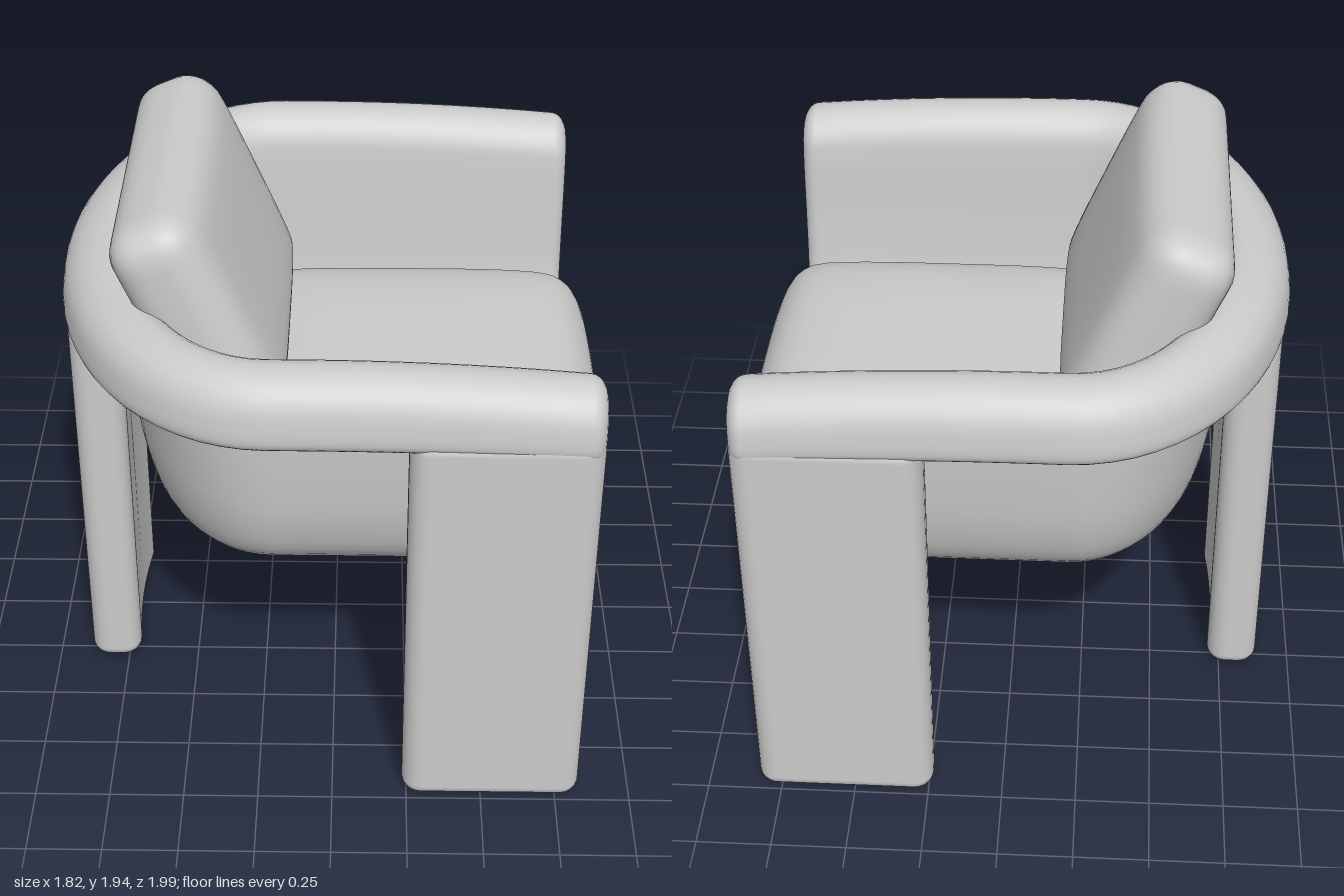
import * as THREE from 'three';
import { mergeVertices } from 'three/addons/utils/BufferGeometryUtils.js';

const material = new THREE.MeshStandardMaterial({ color: 0xcccccc });
const shellMaterial = new THREE.MeshStandardMaterial({ color: 0xcccccc, side: THREE.DoubleSide });
const FRONT = 0.83;    // x of the front edge
const BEND = -0.2;     // x where the straight arms turn into the curved back

function part(name, geometry, mat = material) {
  const mesh = new THREE.Mesh(geometry, mat);
  mesh.name = name;
  return mesh;
}

// Merge coincident vertices so that the normals are smooth all round
function smooth(geometry) {
  geometry.deleteAttribute('uv');
  geometry.deleteAttribute('normal');
  const merged = mergeVertices(geometry, 1e-4);
  merged.computeVertexNormals();
  return merged;
}

// Padded band: half section from the outer lip, over the arm and down to the middle of the floor
// Each point is distance from the middle, height, half thickness
function bandSection() {
  const points = [
    [0.915, 1.42, 0.05], [0.915, 1.445, 0.076], [0.913, 1.51, 0.078], [0.898, 1.56, 0.077],
    [0.855, 1.588, 0.068], [0.81, 1.56, 0.063], [0.79, 1.5, 0.056], [0.775, 1.4, 0.05],
    [0.758, 1.2, 0.05], [0.73, 1.0, 0.05], [0.672, 0.86, 0.052], [0.565, 0.79, 0.055],
    [0.4, 0.775, 0.055], [0.2, 0.775, 0.055], [0, 0.775, 0.055],
  ].map((p) => new THREE.Vector3(...p));
  const curve = new THREE.CatmullRomCurve3(points);
  const samples = 56;
  return Array.from({ length: samples + 1 }, (_, i) => {
    const p = curve.getPoint(i / samples);
    const t = curve.getTangent(i / samples);
    const length = Math.hypot(t.x, t.y);
    return { w: p.x, y: p.y, h: p.z, nw: -t.y / length, ny: t.x / length };
  });
}

// How far the back bows out behind the bend, for a given half width
function backDepth(w) {
  const swell = w > 0.45 && w < 1 ? Math.sin((2 * Math.PI * (w - 0.45)) / 0.55) : 0;
  return 0.72 * Math.pow(w, 1.5) + 0.025 * swell;
}

// Stations around the plan: rounded front edge, arm, curved back, and the mirror of these
function planStations() {
  const half = [];
  for (let i = 0; i <= 6; i++) {
    const a = (Math.PI / 2) * (1 - i / 6);
    half.push({ x: FRONT - 0.05 + 0.05 * Math.sin(a), angle: 0, thick: Math.cos(a) });
  }
  for (let i = 1; i <= 8; i++) {
    half.push({ x: THREE.MathUtils.lerp(FRONT - 0.05, BEND, i / 8), angle: 0, thick: 1 });
  }
  for (let i = 1; i <= 16; i++) half.push({ x: BEND, angle: (i / 16) * (Math.PI / 2), thick: 1 });
  const left = half.map((s) => ({ ...s, side: 1 }));
  const right = half.slice(0, -1).reverse().map((s) => ({ ...s, side: -1 }));
  return [...left, ...right];
}

function shellGeometry() {
  const section = bandSection();
  const stations = planStations();
  const positions = [];
  const indices = [];
  const rows = section.length * 2;
  for (const s of stations) {
    const outline = (sign) => section.map((p) => [
      Math.max(0, p.w + sign * p.nw * p.h * s.thick),
      p.y + sign * p.ny * p.h * s.thick,
    ]);
    for (const [w, y] of [...outline(1).reverse(), ...outline(-1)]) {
      const x = s.x - backDepth(w) * Math.sin(s.angle);
      const z = s.side * w * Math.cos(s.angle);
      // The arms dip slightly towards the front
      const reach = Math.max(0, (x + 0.1) / 0.93);
      const upper = THREE.MathUtils.clamp((y - 1.2) / 0.4, 0, 1);
      positions.push(x, y + upper * (0.01 - 0.045 * reach * reach), z);
    }
  }
  for (let i = 0; i < stations.length - 1; i++) {
    for (let j = 0; j < rows - 1; j++) {
      const a = i * rows + j;
      const b = a + rows;
      indices.push(a, a + 1, b, b, a + 1, b + 1);
    }
  }
  const geometry = new THREE.BufferGeometry();
  geometry.setAttribute('position', new THREE.Float32BufferAttribute(positions, 3));
  geometry.setIndex(indices);
  geometry.computeVertexNormals();
  return geometry;
}

// Slab leg with softened edges; bow curves its outer face (+z) outwards
function legGeometry(width, depth, bow) {
  const bevel = 0.045;
  const w = width / 2 - bevel;
  const d = depth / 2 - bevel;
  const r = 0.025;
  const shape = new THREE.Shape();
  shape.moveTo(-w + r, -d);
  shape.quadraticCurveTo(0, -d - 2 * bow, w - r, -d);
  shape.quadraticCurveTo(w, -d, w, -d + r);
  shape.lineTo(w, d - r);
  shape.quadraticCurveTo(w, d, w - r, d);
  shape.quadraticCurveTo(0, d - 2 * bow, -w + r, d);
  shape.quadraticCurveTo(-w, d, -w, d - r);
  shape.lineTo(-w, -d + r);
  shape.quadraticCurveTo(-w, -d, -w + r, -d);
  const geometry = new THREE.ExtrudeGeometry(shape, {
    depth: 1.37, bevelEnabled: true, bevelSize: bevel, bevelThickness: bevel, bevelSegments: 5, curveSegments: 8,
  });
  geometry.rotateX(-Math.PI / 2).translate(0, 0.01 + bevel, 0);
  return smooth(geometry);
}

// Rounded cushion; puff swells its top face, nose swells its +x edge in plan
function cushionGeometry(sx, sy, sz, radius, puff, nose) {
  const geometry = new THREE.BoxGeometry(2, 2, 2, 22, 14, 22);
  const pos = geometry.attributes.position;
  const half = new THREE.Vector3(sx, sy, sz).multiplyScalar(0.5);
  const core = half.clone().subScalar(radius);
  const p = new THREE.Vector3();
  const inner = new THREE.Vector3();
  for (let i = 0; i < pos.count; i++) {
    p.fromBufferAttribute(pos, i);
    // Crowd the grid lines towards the rounded edges
    p.set(...p.toArray().map((c) => Math.sin((c * Math.PI) / 2))).multiply(half);
    inner.copy(p).clamp(core.clone().negate(), core);
    p.sub(inner).setLength(radius).add(inner);
    const u = p.x / half.x;
    const v = p.z / half.z;
    p.y += puff * (1 - u ** 4) * (1 - v ** 4) * Math.max(0, p.y / half.y);
    p.x += nose * (1 - v ** 4) * Math.max(0, u);
    pos.setXYZ(i, p.x, p.y, p.z);
  }
  return smooth(geometry);
}

export function createModel() {
  const chair = new THREE.Group();
  chair.name = 'armchair';

  chair.add(part('shell', shellGeometry(), shellMaterial));

  // Two slab legs below the arms
  for (const side of [1, -1]) {
    const leg = part(side > 0 ? 'leftLeg' : 'rightLeg', legGeometry(0.595, 0.16, 0));
    leg.position.set(0.532, 0, side * 0.915);
    chair.add(leg);
  }

  // Curved leg below the back
  const backLeg = part('backLeg', legGeometry(0.63, 0.175, 0.015));
  backLeg.rotation.y = -Math.PI / 2;
  backLeg.position.x = -0.795;
  chair.add(backLeg);

  const seat = part('seatCushion', cushionGeometry(1.23, 0.285, 1.27, 0.135, 0.08, 0.04));
  seat.position.set(0.25, 0.988, 0);
  chair.add(seat);

  // Leaning back cushion, its puffed face turned to the front
  const back = part('backCushion', cushionGeometry(0.84, 0.29, 1.17, 0.115, 0.035, 0));
  back.rotation.z = 0.4 - Math.PI / 2;
  back.position.set(-0.435, 1.545, 0);
  chair.add(back);

  return chair;
}
